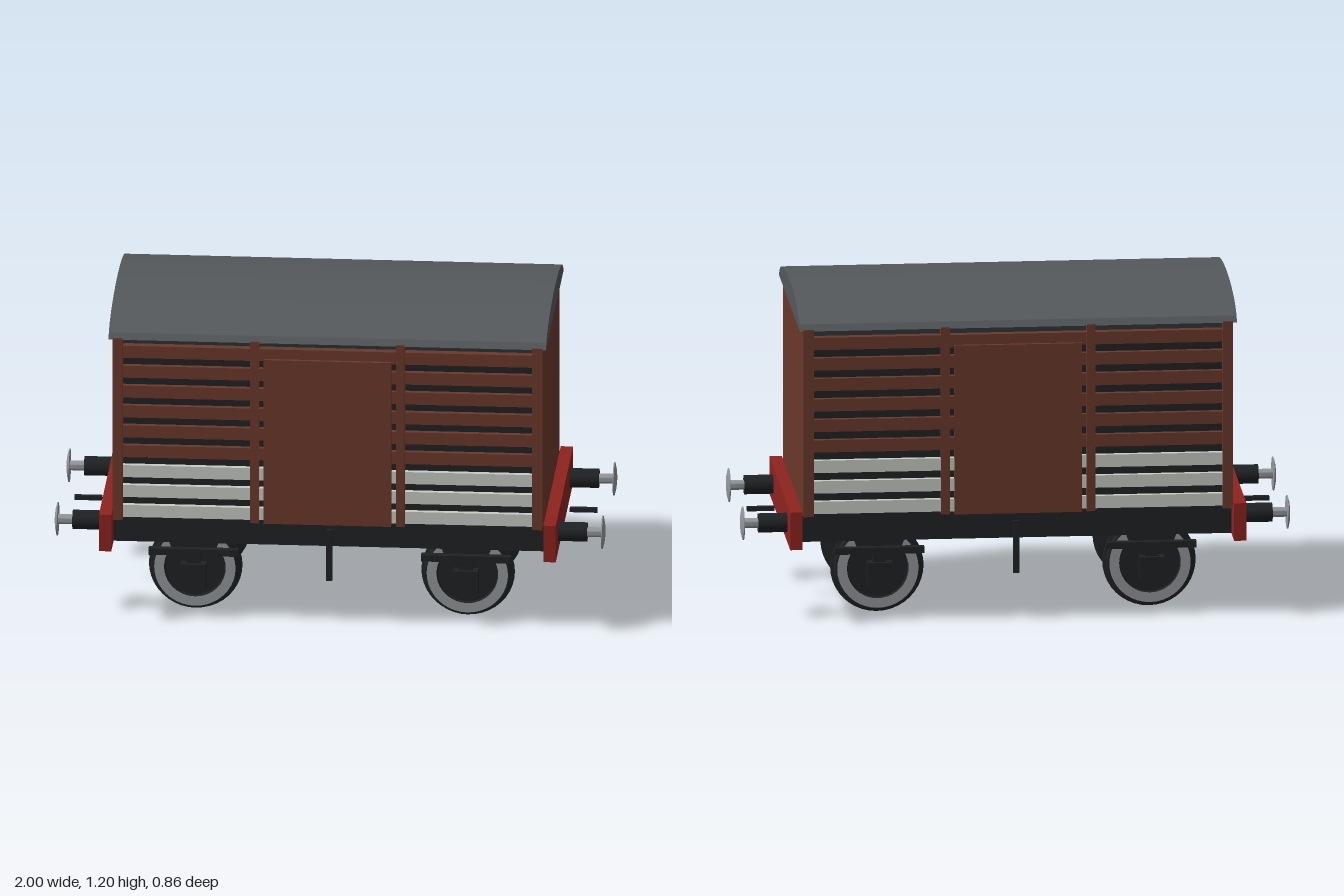
import * as THREE from 'three';
import { toCreasedNormals } from 'three/addons/utils/BufferGeometryUtils.js';

const mat = (color) => new THREE.MeshStandardMaterial({ color });

export function createModel() {
  const root = new THREE.Group();
  const brown = mat(0x6b392b), red = mat(0x8f231f), roofGrey = mat(0x55595c);
  const dark = mat(0x1f2224), white = mat(0xc8ccc4), steel = mat(0x94989c);

  const add = (parent, name, geometry, material) => {
    const mesh = new THREE.Mesh(geometry, material);
    mesh.name = name;
    parent.add(mesh);
    return mesh;
  };
  // Box given by its lower and upper limits on each axis
  const box = (parent, name, material, x0, x1, y0, y1, z0, z1) => {
    const mesh = add(parent, name, new THREE.BoxGeometry(x1 - x0, y1 - y0, z1 - z0), material);
    mesh.position.set((x0 + x1) / 2, (y0 + y1) / 2, (z0 + z1) / 2);
    return mesh;
  };
  // Turned part: profile of [radius, distance along the axis]
  const lathe = (points, segments = 32) => toCreasedNormals(
    new THREE.LatheGeometry(points.map(([r, d]) => new THREE.Vector2(r, d)), segments), 0.6);
  const group = (name, parent = root) => {
    const g = new THREE.Group();
    g.name = name;
    parent.add(g);
    return g;
  };

  // Curved roof, a flat half ellipse drawn along the van
  const arch = new THREE.Shape();
  for (let i = 0; i <= 12; i++) {
    const a = (i / 12) * Math.PI;
    const p = [0.43 * Math.cos(a), 1.105 + 0.09 * Math.sin(a)];
    if (i) arch.lineTo(...p); else arch.moveTo(...p);
  }
  const roofGeo = new THREE.ExtrudeGeometry(arch, { depth: 1.59, bevelEnabled: false });
  roofGeo.translate(0, 0, -0.795).rotateY(Math.PI / 2);
  add(root, 'roof', toCreasedNormals(roofGeo, 0.5), roofGrey);

  // Dark lining seen between the slats
  const body = group('body');
  box(body, 'lining', dark, -0.76, 0.76, 0.415, 1.075, -0.395, 0.395);

  // Ends with their buffer beams and drawhooks
  for (const s of [-1, 1]) {
    const end = group(s > 0 ? 'leftEnd' : 'rightEnd');
    const lim = (a, b) => (s > 0 ? [a, b] : [-b, -a]);
    box(end, 'endPanel', brown, ...lim(0.755, 0.782), 0.412, 1.106, -0.415, 0.415);
    box(end, 'bufferBeam', red, ...lim(0.785, 0.83), 0.29, 0.43, -0.43, 0.43);
    box(end, 'drawhook', dark, ...lim(0.85, 0.95), 0.334, 0.35, -0.009, 0.009);

    // Sprung buffers
    for (const z of [-0.29, 0.29]) {
      const buffer = group('buffer', end);
      buffer.position.set(s * 0.83, 0.36, z);
      buffer.rotation.z = -s * Math.PI / 2;
      add(buffer, 'bufferHousing', lathe([[0, 0], [0.035, 0], [0.035, 0.105], [0, 0.105]], 20), dark);
      add(buffer, 'bufferHead', lathe([[0, 0.1], [0.018, 0.1], [0.018, 0.158], [0.061, 0.158],
        [0.061, 0.162], [0.04, 0.167], [0.02, 0.1695], [0, 0.17]]), steel);
    }
  }

  // Slatted sides, front and back alike
  for (const s of [-1, 1]) {
    const side = group(s > 0 ? 'frontSide' : 'backSide');
    const lim = (a, b) => (s > 0 ? [a, b] : [-b, -a]);
    for (let i = 0; i < 9; i++) {
      const y = 0.442 + i * 0.0765;
      box(side, 'slat', i < 3 ? white : brown, -0.75, 0.75, y - 0.023, y + 0.023, ...lim(0.385, 0.415));
    }
    for (const x of [-0.7625, -0.265, 0.265, 0.7625]) {
      const w = Math.abs(x) > 0.5 ? 0.0185 : 0.016;
      box(side, 'post', brown, x - w, x + w, 0.412, 1.11, ...lim(0.385, 0.43));
    }
    box(side, 'door', brown, -0.232, 0.232, 0.41, 1.04, ...lim(0.385, 0.428));
    box(side, 'sill', dark, -0.785, 0.785, 0.295, 0.4, ...lim(0.27, 0.328));
    box(side, 'brakeLever', dark, -0.011, 0.011, 0.165, 0.36, ...lim(0.325, 0.342));
  }
  box(root, 'underframeFloor', dark, -0.785, 0.785, 0.37, 0.4, -0.28, 0.28);

  // Axle guard plate, wide at the sill and narrow at the axle box
  const guard = new THREE.Shape([[-0.1, 0.14], [-0.045, 0], [0.045, 0], [0.1, 0.14]]
    .map(([x, y]) => new THREE.Vector2(x, y)));
  const guardGeo = new THREE.ExtrudeGeometry(guard, { depth: 0.014, bevelEnabled: false });

  // Wheel sets with springs and axle boxes
  const wheelGeo = lathe([[0, -0.002], [0.05, -0.002], [0.165, 0], [0.17, 0.002], [0.168, 0.006],
    [0.157, 0.009], [0.155, 0.045], [0.148, 0.047], [0.148, 0.042], [0.112, 0.042],
    [0.108, 0.034], [0.045, 0.034], [0.04, 0.047], [0, 0.047]], 40);
  for (const x of [-0.495, 0.495]) {
    const set = group('wheelSet');
    set.position.x = x;
    const axle = add(set, 'axle', new THREE.CylinderGeometry(0.026, 0.026, 0.42, 20), dark);
    axle.position.y = 0.17;
    axle.rotation.x = Math.PI / 2;
    for (const s of [-1, 1]) {
      const lim = (a, b) => (s > 0 ? [a, b] : [-b, -a]);
      const wheel = group('wheel', set);
      wheel.position.set(0, 0.17, s * 0.199);
      wheel.rotation.x = s * Math.PI / 2;
      add(wheel, 'wheelDisc', wheelGeo, dark);
      const ring = add(wheel, 'tyreFace', new THREE.RingGeometry(0.112, 0.148, 40), steel);
      ring.rotation.x = -Math.PI / 2;
      ring.position.y = 0.0435;
      const cap = add(wheel, 'axleEnd', new THREE.CylinderGeometry(0.03, 0.03, 0.02, 20), steel);
      cap.position.y = 0.046;
      const plate = add(set, 'axleGuard', guardGeo, dark);
      plate.position.set(0, 0.17, s * 0.2875 - 0.007);
      box(set, 'axleBox', dark, -0.046, 0.046, 0.122, 0.213, ...lim(0.29, 0.338));
      box(set, 'springBuckle', dark, -0.025, 0.025, 0.21, 0.25, ...lim(0.295, 0.322));
      box(set, 'leafSpring', dark, -0.163, 0.163, 0.242, 0.266, ...lim(0.294, 0.322));
    }
  }
  return root;
}
